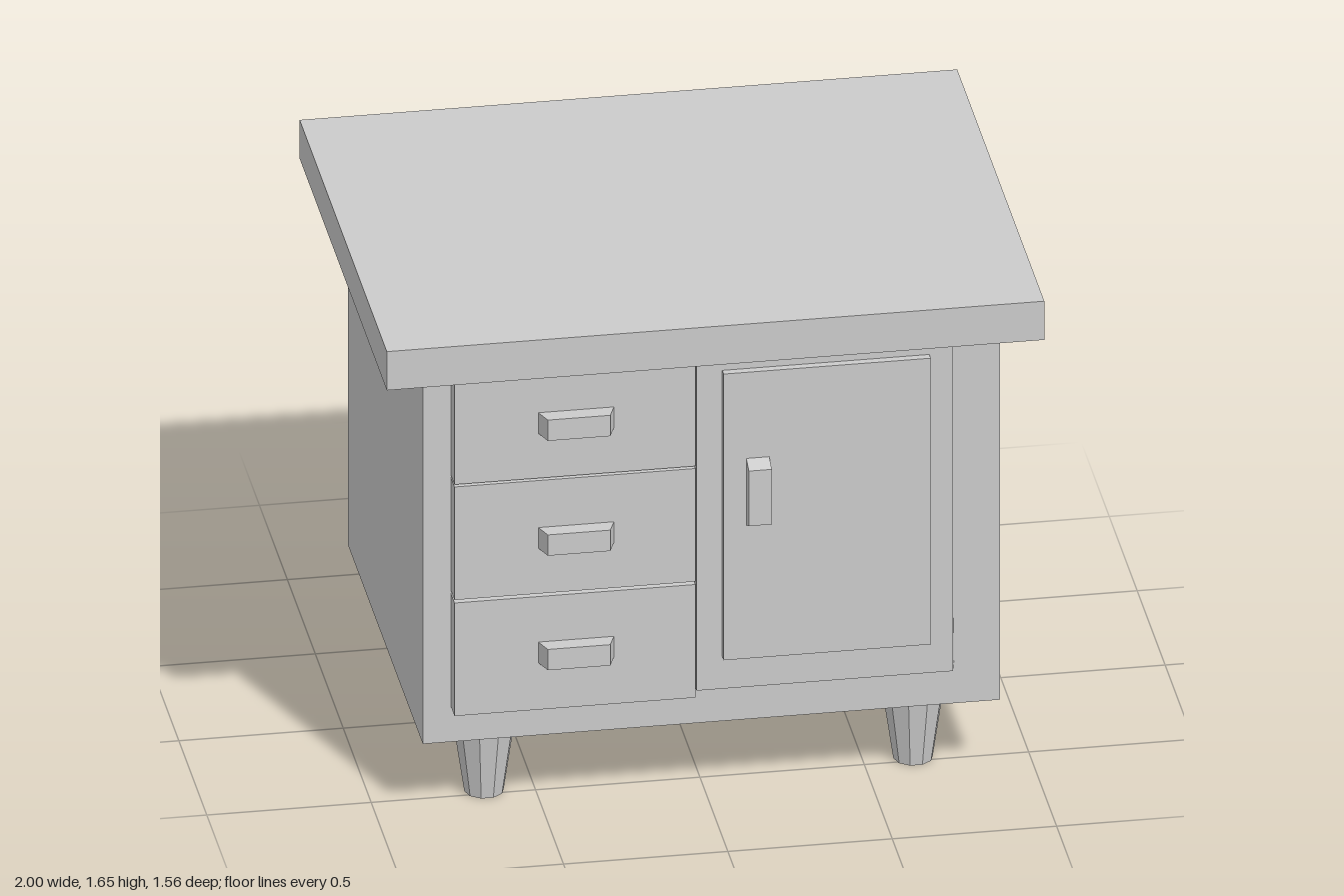
import * as THREE from 'three';

const material = new THREE.MeshStandardMaterial({ color: 0xcccccc, flatShading: true });

// Box given by its limits on each axis
function box(name, [x0, x1], [y0, y1], [z0, z1]) {
  const geometry = new THREE.BoxGeometry(x1 - x0, y1 - y0, z1 - z0);
  geometry.translate((x0 + x1) / 2, (y0 + y1) / 2, (z0 + z1) / 2);
  const mesh = new THREE.Mesh(geometry, material);
  mesh.name = name;
  return mesh;
}

// Bar handle whose two ends slope inwards towards the front
function handle(name, length, x, y, z, depth) {
  const geometry = new THREE.BoxGeometry(length, 0.07, depth);
  const p = geometry.attributes.position;
  for (let i = 0; i < p.count; i++) {
    if (p.getZ(i) > 0) p.setX(i, p.getX(i) - Math.sign(p.getX(i)) * 0.02);
  }
  geometry.translate(0, 0, depth / 2);
  geometry.computeVertexNormals();
  const mesh = new THREE.Mesh(geometry, material);
  mesh.name = name;
  mesh.position.set(x, y, z);
  return mesh;
}

export function createModel() {
  const model = new THREE.Group();
  model.name = 'cabinet';

  // Carcass and overhanging top
  model.add(box('body', [-0.865, 0.89], [0.25, 1.525], [-0.705, 0.63]));
  model.add(box('top', [-1, 1], [1.525, 1.655], [-0.78, 0.78]));

  // Three stacked drawers
  const drawers = [[0.37, 0.75, 0.562], [0.76, 1.14, 0.947], [1.148, 1.522, 1.333]];
  for (const [y0, y1, handleY] of drawers) {
    const drawer = new THREE.Group();
    drawer.name = 'drawer';
    drawer.add(box('drawerFront', [-0.78, -0.047], [y0, y1], [0.6, 0.697]));
    drawer.add(handle('drawerHandle', 0.23, -0.41, handleY, 0.697, 0.053));
    model.add(drawer);
  }

  // Door slab, slightly wider at the back along its lower right edges
  const door = new THREE.Group();
  door.name = 'door';
  const slab = box('doorSlab', [-0.045, 0.735], [0.397, 1.525], [0.62, 0.705]);
  const p = slab.geometry.attributes.position;
  for (let i = 0; i < p.count; i++) {
    if (p.getZ(i) > 0.65) continue;
    const low = p.getY(i) < 1;
    if (p.getX(i) > 0) p.setX(i, low ? 0.752 : 0.74);
    if (low) p.setY(i, 0.387);
  }
  slab.geometry.computeVertexNormals();
  door.add(slab);

  // Raised panel and upright handle
  door.add(box('doorPanel', [0.033, 0.663], [0.505, 1.467], [0.7, 0.73]));
  const doorHandle = handle('doorHandle', 0.225, 0.137, 1.065, 0.73, 0.045);
  doorHandle.rotation.z = Math.PI / 2;
  door.add(doorHandle);
  model.add(door);

  // Four tapered feet
  for (const x of [-0.652, 0.653]) {
    for (const z of [0.473, -0.54]) {
      const leg = new THREE.Mesh(new THREE.CylinderGeometry(0.097, 0.06, 0.25, 10), material);
      leg.name = 'leg';
      leg.position.set(x, 0.125, z);
      leg.rotation.y = Math.PI / 10;
      model.add(leg);
    }
  }
  return model;
}
